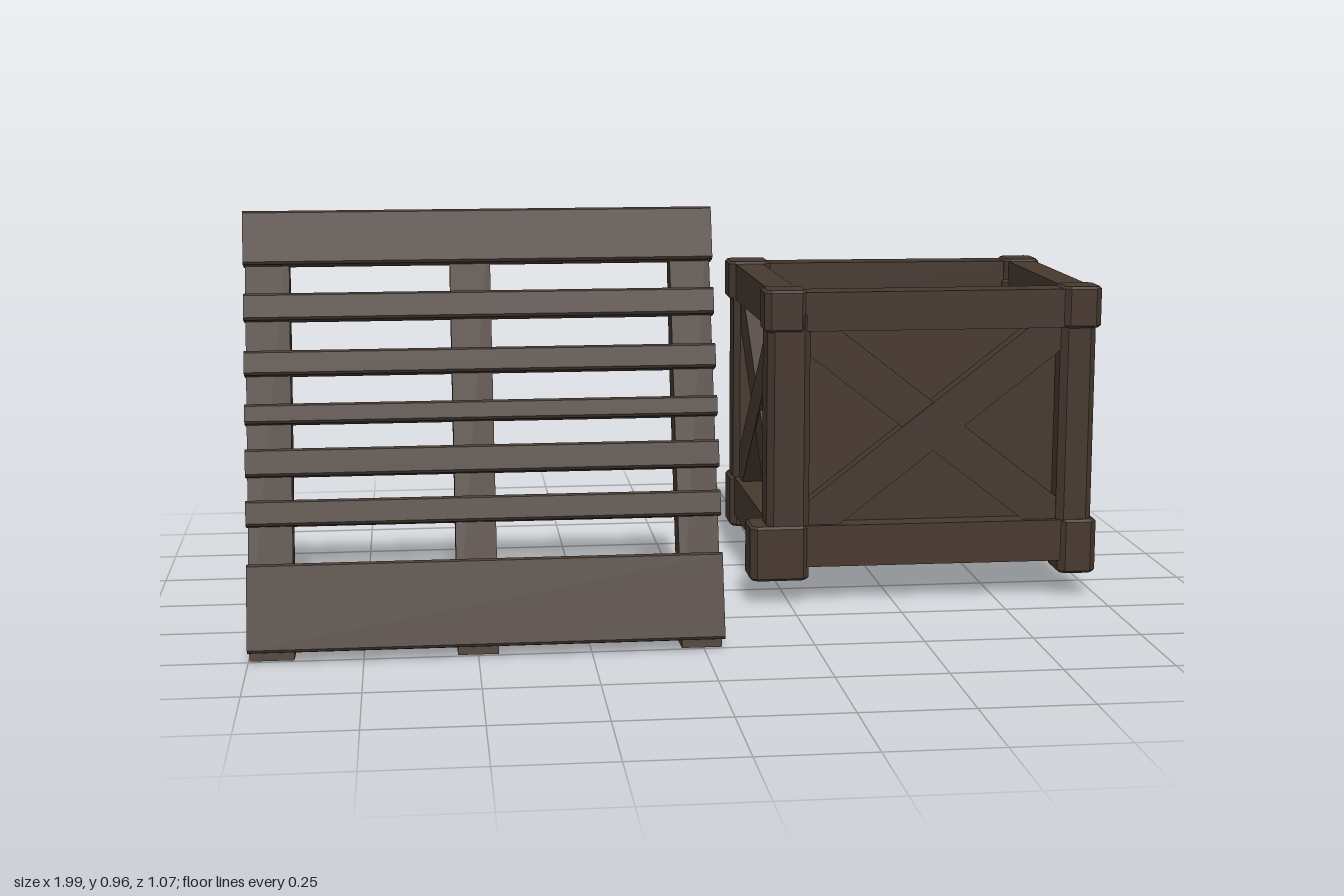
import * as THREE from 'three';

const wood = new THREE.MeshStandardMaterial({ color: 0x46382f });
wood.name = 'dark brown wood';

const add = (parent, name, geometry) => {
  const mesh = new THREE.Mesh(geometry, wood);
  mesh.name = name;
  parent.add(mesh);
  return mesh;
};

const shapeOf = (points) => new THREE.Shape(points.map(([a, b]) => new THREE.Vector2(a, b)));

// Side outline given as [z, y] points, stretched from x0 to x1
function sideExtrude(points, x0, x1) {
  const g = new THREE.ExtrudeGeometry(shapeOf(points), { depth: x1 - x0, bevelEnabled: false });
  return g.rotateY(-Math.PI / 2).translate(x1, 0, 0);
}

// Upright block with chamfered corners
function block(x0, x1, z0, z1, y0, y1) {
  const c = 0.012, b = 0.006;
  const [l, r, f, k] = [x0 + b, x1 - b, -z1 + b, -z0 - b];
  const s = shapeOf([[l + c, f], [r - c, f], [r, f + c], [r, k - c],
    [r - c, k], [l + c, k], [l, k - c], [l, f + c]]);
  const g = new THREE.ExtrudeGeometry(s, {
    depth: y1 - y0 - 2 * b, bevelSize: b, bevelThickness: b, bevelSegments: 1,
  });
  return g.rotateX(-Math.PI / 2).translate(0, y0 + b, 0);
}

// Straight timber between two points
function beam(parent, name, from, to, thick, high) {
  const a = new THREE.Vector3(...from), b = new THREE.Vector3(...to);
  const mesh = add(parent, name, new THREE.BoxGeometry(thick, high, a.distanceTo(b)));
  mesh.position.copy(a).lerp(b, 0.5);
  mesh.lookAt(b);
}

// Leaning slatted pallet
function createPallet() {
  const pallet = new THREE.Group();
  pallet.name = 'pallet';
  const frontZ = (y) => 0.252 + (0.962 - y) * 0.301;
  const back = (y, t) => [frontZ(y) - 0.957 * t, y - 0.288 * t];

  const stringer = [[0.43, 0], [0.505, 0.004], back(0.05, 0.03), back(0.955, 0.03),
    [0.21, 0.946], [0.18, 0.925], [0.247, 0.605]];
  for (const [x0, x1] of [[-0.997, -0.9], [-0.545, -0.455], [-0.05, 0.04]]) {
    add(pallet, 'stringer', sideExtrude(stringer, x0, x1));
  }

  const slats = [[0.03, 0.214], [0.293, 0.347], [0.397, 0.455], [0.508, 0.55],
    [0.611, 0.663], [0.728, 0.785], [0.847, 0.962]];
  for (const [y0, y1] of slats) {
    const e = 0.005;
    const outline = [back(y0, 0.045), back(y0, e), back(y0 + e, 0),
      back(y1 - e, 0), back(y1, e), back(y1, 0.045)];
    add(pallet, 'slat', sideExtrude(outline, -1, 0.044));
  }
  return pallet;
}

// Open crate with cross braces
function createCrate() {
  const crate = new THREE.Group();
  crate.name = 'crate';

  // Corner posts, top caps and feet: [x0, x1, z0, z1]
  const corners = [
    { post: [0.193, 0.295, 0.055, 0.156], cap: [0.185, 0.288, 0.068, 0.16], foot: [0.154, 0.295, 0.05, 0.162] },
    { post: [0.895, 0.98, 0.055, 0.158], cap: [0.897, 0.99, 0.07, 0.166], foot: [0.9, 0.992, 0.055, 0.166] },
    { post: [0.895, 0.983, -0.495, -0.404], cap: [0.9, 0.99, -0.504, -0.408], foot: [0.9, 0.99, -0.504, -0.404] },
    { post: [0.193, 0.295, -0.522, -0.42], cap: [0.182, 0.288, -0.536, -0.43], foot: [0.185, 0.298, -0.533, -0.42] },
  ];
  for (const { post, cap, foot } of corners) {
    add(crate, 'cornerPost', block(...post, 0.15, 0.7));
    add(crate, 'cornerCap', block(...cap, 0.655, 0.754));
    add(crate, 'cornerFoot', block(...foot, 0.06, 0.192));
  }

  // Walls run between these points: front, right, back, left
  const ring = [[0.24, 0.115], [0.945, 0.119], [0.945, -0.46], [0.232, -0.484]];
  ring.forEach(([x0, z0], i) => {
    const [x1, z1] = ring[(i + 1) % 4];
    beam(crate, 'topRail', [x0, 0.702, z0], [x1, 0.702, z1], 0.07, 0.092);
    beam(crate, 'bottomRail', [x0, 0.141, z0], [x1, 0.141, z1], 0.074, 0.1);
    const at = (t, y) => [x0 + (x1 - x0) * t, y, z0 + (z1 - z0) * t];
    beam(crate, 'crossBrace', at(0.04, 0.17), at(0.96, 0.675), 0.05, 0.092);
    beam(crate, 'crossBrace', at(0.04, 0.675), at(0.96, 0.17), 0.044, 0.092);
  });

  // Boarded front and back; the back one has a small knot hole
  for (const [z, holed] of [[0.082, false], [-0.465, true]]) {
    const panel = shapeOf([[0.24, 0.15], [0.94, 0.15], [0.94, 0.69], [0.24, 0.69]]);
    if (holed) {
      const knot = new THREE.Path();
      knot.absellipse(0.5, 0.59, 0.022, 0.035, 0, Math.PI * 2, false, 0.3);
      panel.holes.push(knot);
    }
    const g = new THREE.ExtrudeGeometry(panel, { depth: 0.02, bevelEnabled: false });
    add(crate, 'wallPanel', g.translate(0, 0, z));
  }

  add(crate, 'floor', new THREE.BoxGeometry(0.71, 0.025, 0.58).translate(0.588, 0.125, -0.175));
  return crate;
}

export function createModel() {
  const model = new THREE.Group();
  model.name = 'palletAndCrate';
  model.add(createPallet(), createCrate());
  return model;
}
